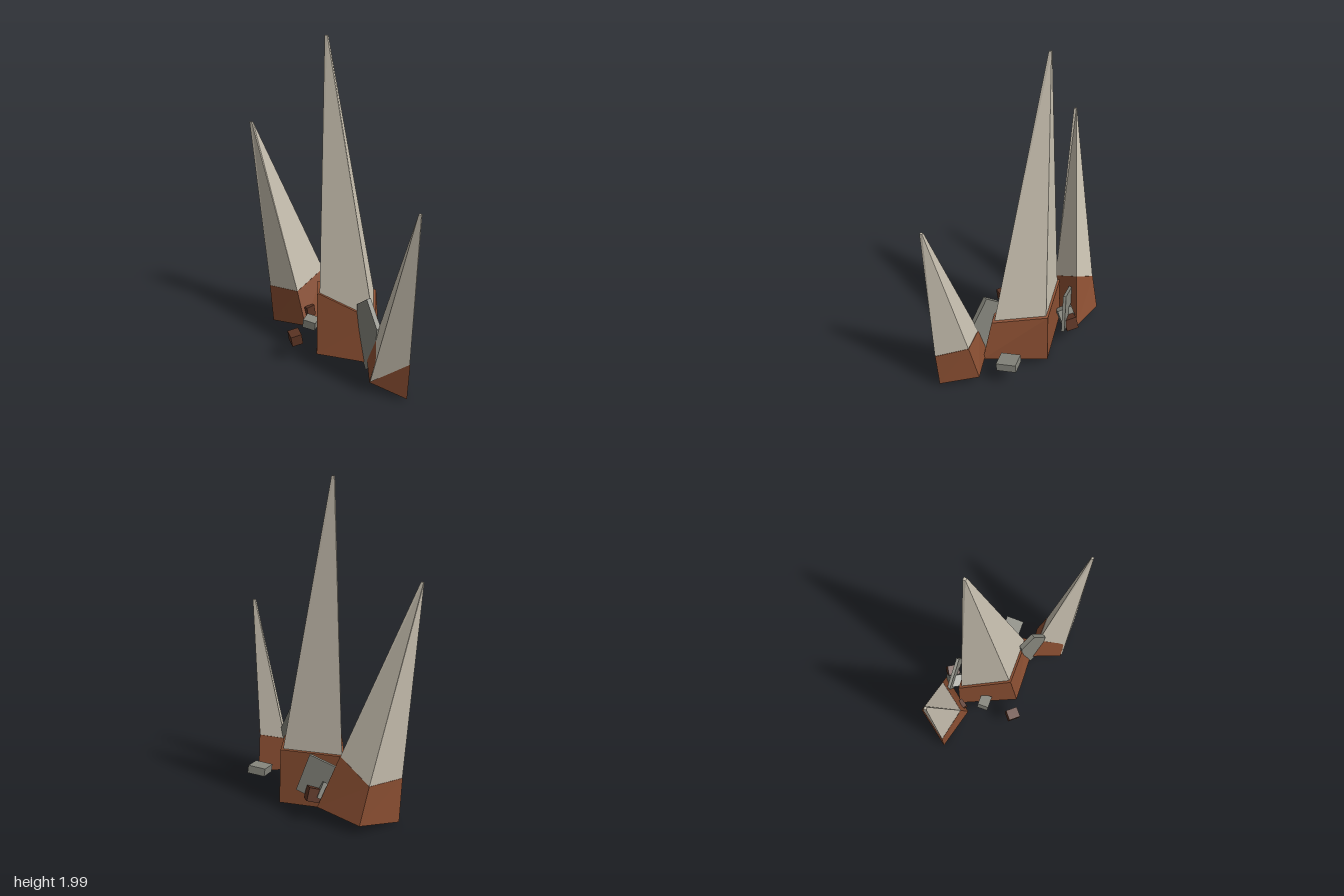
import * as THREE from 'three';

const paint = (color) => new THREE.MeshStandardMaterial({ color, flatShading: true });
const BROWN = paint(0x8b4f32), PALE = paint(0xc8c0b0), GREY = paint(0x85857c), DARK = paint(0x5a3323);

// Six-sided solid between two rings of corners, each ordered
// back -x, back +x, front +x, front -x
function hexahedron(bottom, top) {
  const out = [];
  const quad = (a, b, c, d) => out.push(...a, ...b, ...c, ...a, ...c, ...d);
  for (let i = 0; i < 4; i++) {
    const j = (i + 1) % 4;
    quad(bottom[j], bottom[i], top[i], top[j]);
  }
  quad(top[3], top[2], top[1], top[0]);
  quad(...bottom);
  const g = new THREE.BufferGeometry();
  g.setAttribute('position', new THREE.Float32BufferAttribute(out, 3));
  g.computeVertexNormals();
  return g;
}

function addMesh(parent, name, geometry, material) {
  const m = new THREE.Mesh(geometry, material);
  m.name = name;
  parent.add(m);
  return m;
}

// Pull a ring of corners towards its centre
function inset(ring, k) {
  const c = [0, 1, 2].map((a) => ring.reduce((s, p) => s + p[a] / 4, 0));
  return ring.map((p) => p.map((v, a) => v + (c[a] - v) * k));
}

// Tapered shard: base ring to a tiny square tip
function spike(ring, [x, y, z], r = 0.008) {
  const tip = [[-r, -r], [r, -r], [r, r], [-r, r]].map(([dx, dz]) => [x + dx, y, z + dz]);
  return hexahedron(ring, tip);
}

function cluster(name, bottom, top, tip, spikeRing = inset(top, 0.01)) {
  const g = new THREE.Group();
  g.name = name;
  addMesh(g, 'rockBase', hexahedron(bottom, top), BROWN);
  addMesh(g, 'spike', spike(spikeRing, tip), PALE);
  return g;
}

export function createModel() {
  const model = new THREE.Group();
  model.name = 'spikedRocks';

  // Tall middle spike
  const midTop = [[-0.21, 0.37, -0.165], [0.19, 0.375, -0.2], [0.31, 0.345, 0.13], [-0.065, 0.468, 0.155]];
  model.add(cluster('middleSpike',
    [[-0.22, 0.03, -0.165], [0.2, 0.035, -0.205], [0.365, 0.075, 0.175], [-0.05, 0.065, 0.205]],
    midTop, [-0.108, 1.995, -0.1], inset(midTop, 0.08)));

  // Rear spike on the -x side
  model.add(cluster('rearSpike',
    [[-0.38, 0.06, -0.393], [-0.095, 0.1, -0.32], [-0.265, 0.065, -0.08], [-0.545, 0.008, -0.15]],
    [[-0.42, 0.285, -0.343], [-0.22, 0.415, -0.274], [-0.33, 0.3, -0.1], [-0.558, 0.28, -0.14]],
    [-0.638, 1.425, -0.12]));

  // Front spike on the +x side, its shard reaching down over the front of the base
  model.add(cluster('frontSpike',
    [[0.275, 0.1, 0.175], [0.51, 0.065, 0.145], [0.602, 0.025, 0.375], [0.37, 0.08, 0.38]],
    [[0.342, 0.295, 0.205], [0.525, 0.3, 0.2], [0.616, 0.267, 0.383], [0.408, 0.24, 0.378]],
    [0.638, 1.188, 0.386],
    [[0.345, 0.295, 0.208], [0.524, 0.3, 0.202], [0.614, 0.267, 0.385], [0.378, 0.09, 0.388]]));

  // Thin upright slab leaning between the middle and front spikes
  const outline = [[-0.1, 0.435], [0, 0.515], [0.105, 0.36], [0.08, 0.1], [0, 0.025], [-0.08, 0.15]];
  const slab = addMesh(model, 'frontSlab', new THREE.ExtrudeGeometry(
    new THREE.Shape(outline.map(([x, y]) => new THREE.Vector2(x, y))),
    { depth: 0.03, bevelEnabled: false }), GREY);
  slab.position.set(0.29, 0, 0.165);
  slab.rotation.y = -0.57;

  // Loose debris: name, material, size, position, rotation
  const debris = [
    ['rearSlab', GREY, [0.23, 0.24, 0.02], [-0.09, 0.24, -0.25], [0.04, 0.08, 0.35]],
    ['rearStone', GREY, [0.08, 0.1, 0.1], [-0.11, 0.17, -0.24], [0.3, 0.6, 0.3]],
    ['rearCube', DARK, [0.09, 0.08, 0.08], [-0.06, 0.16, -0.28], [0.2, 0.6, 0.15]],
    ['sideChip', DARK, [0.03, 0.07, 0.06], [-0.25, 0.16, -0.125], [0.1, -0.5, 0.15]],
    ['sideStone', GREY, [0.085, 0.06, 0.075], [-0.18, 0.16, 0.01], [0.1, 0.05, -0.15]],
    ['frontCube', DARK, [0.07, 0.07, 0.08], [-0.188, 0.165, 0.225], [0.1, 0.75, 0.08]],
    ['flatStone', GREY, [0.115, 0.05, 0.125], [0.42, 0.155, -0.018], [0.1, 0.05, 0.1]],
  ];
  for (const [name, material, size, position, rotation] of debris) {
    const stone = addMesh(model, name, new THREE.BoxGeometry(...size), material);
    stone.position.set(...position);
    stone.rotation.set(...rotation);
  }
  return model;
}
